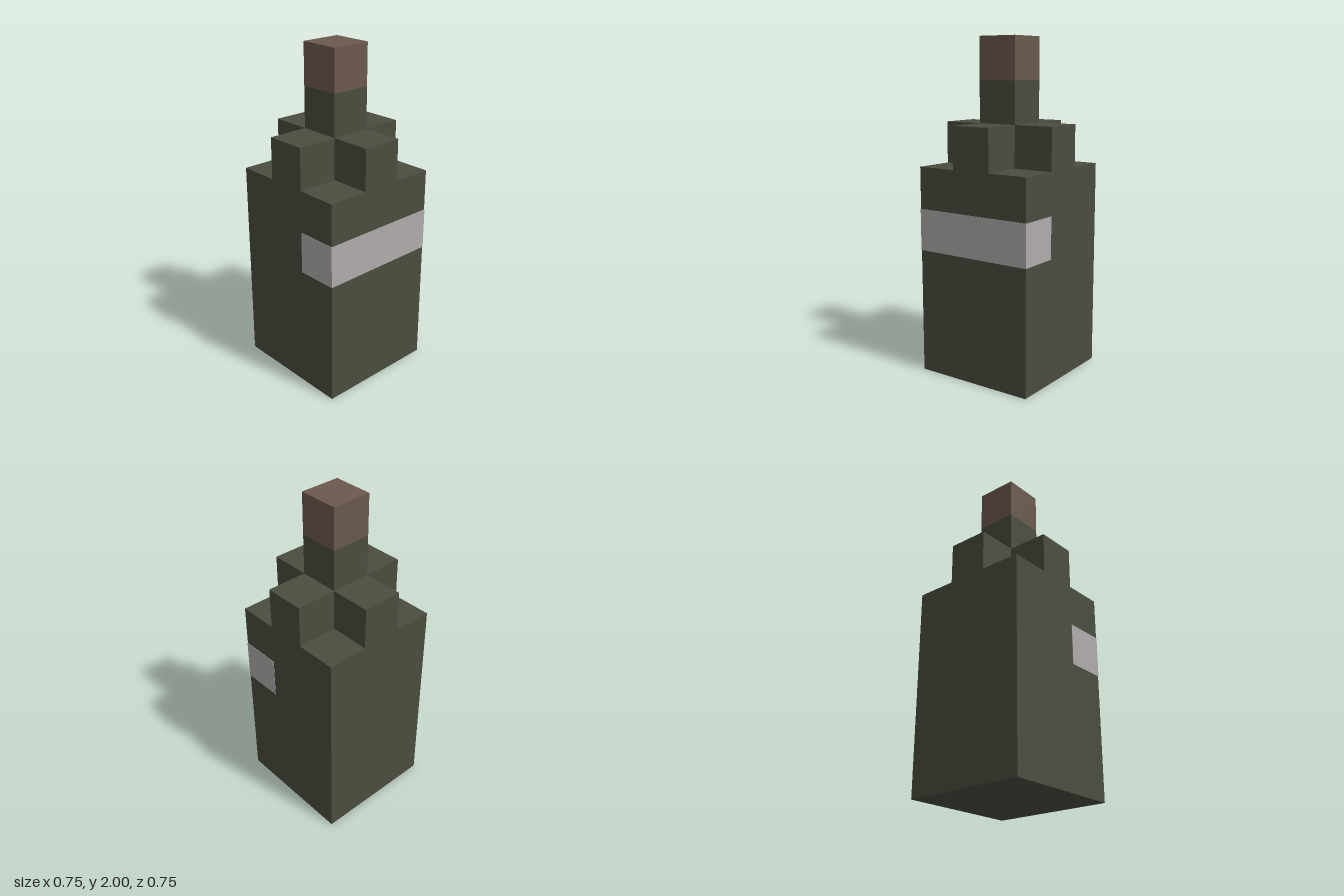
import * as THREE from 'three';

const UNIT = 0.25; // one block of the bottle
const HALF = 1.5 * UNIT;

export function createModel() {
  const group = new THREE.Group();
  group.name = 'blockBottle';

  const material = (name, color) => {
    const m = new THREE.MeshStandardMaterial({ color });
    m.name = name;
    return m;
  };
  const glass = material('dark green glass', 0x4a4d3f);
  const paper = material('grey label paper', 0xb0acab);
  const wood = material('brown cork', 0x6b594e);

  const add = (name, geometry, mat) => {
    const mesh = new THREE.Mesh(geometry, mat);
    mesh.name = name;
    group.add(mesh);
  };
  // Square block standing between two heights
  const block = (name, width, y0, y1, mat) =>
    add(name, new THREE.BoxGeometry(width, y1 - y0, width).translate(0, (y0 + y1) / 2, 0), mat);
  // Plan outline of [x, z] points raised between two heights
  const raise = (name, plan, y0, y1, mat) => {
    const shape = new THREE.Shape(plan.map(([x, z]) => new THREE.Vector2(x, -z)));
    const geometry = new THREE.ExtrudeGeometry(shape, { depth: y1 - y0, bevelEnabled: false });
    add(name, geometry.rotateX(-Math.PI / 2).translate(0, y0, 0), mat);
  };

  block('body', 2 * HALF, 0, 1.25, glass);

  // Cross-shaped shoulder with notched corners
  const a = UNIT / 2;
  raise('shoulder', [
    [-a, HALF], [a, HALF], [a, a], [HALF, a], [HALF, -a], [a, -a],
    [a, -HALF], [-a, -HALF], [-a, -a], [-HALF, -a], [-HALF, a], [-a, a],
  ], 1.25, 1.5, glass);

  block('neck', UNIT, 1.5, 1.75, glass);
  block('cork', UNIT, 1.75, 2, wood);

  // Thin label across the front, wrapping a third of the way along each side
  const o = HALF + 0.002;
  const i = HALF - 0.002;
  raise('label', [
    [-o, a], [-o, o], [o, o], [o, a], [i, a], [i, i], [-i, i], [-i, a],
  ], 0.75, 1, paper);

  return group;
}
